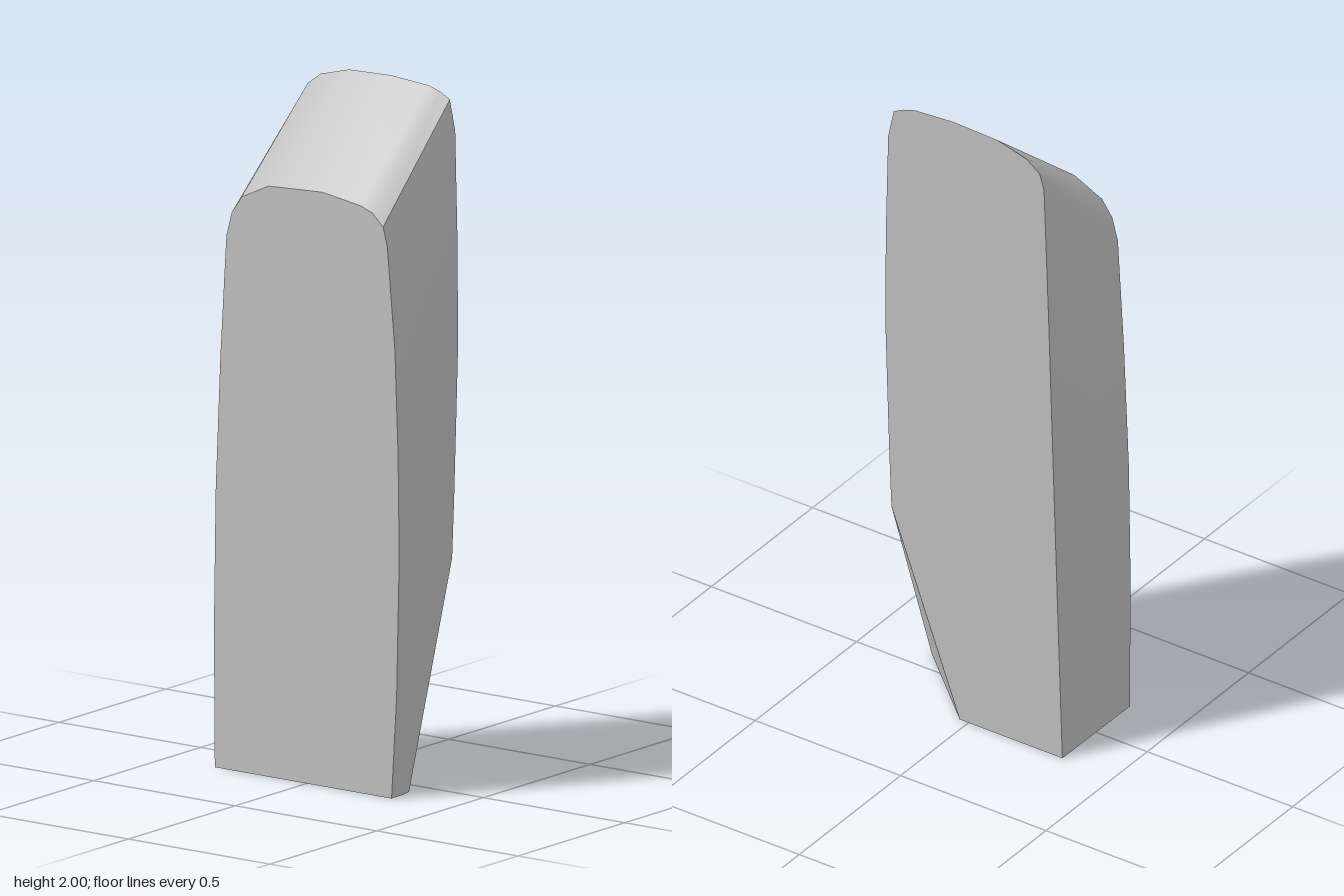
import * as THREE from 'three';
import { toCreasedNormals } from 'three/addons/utils/BufferGeometryUtils.js';

const HALF = 0.165;

// Side outlines as [z, y], from the front foot over the top to the back foot
const lowSide = [
  [0.3, 0], [0.318, 0.3], [0.327, 0.7], [0.323, 1.0], [0.312, 1.3], [0.285, 1.6],
  [0.27, 1.655], [0.232, 1.69], [0.192, 1.705], [0.055, 1.725], [-0.135, 1.715],
  [-0.23, 1.67], [-0.265, 1.62], [-0.284, 1.55], [-0.305, 1.2], [-0.322, 0.8],
  [-0.328, 0.4], [-0.325, 0],
];
const highSide = [
  [0.265, 0.63], [0.272, 0.8], [0.28, 1.05], [0.286, 1.25], [0.284, 1.55], [0.276, 1.87],
  [0.257, 1.96], [0.225, 1.977], [0.185, 1.99], [0.05, 2], [-0.1, 1.995],
  [-0.2, 1.968], [-0.245, 1.935], [-0.26, 1.885], [-0.276, 1.45], [-0.292, 0.95],
  [-0.308, 0.45], [-0.323, 0],
];

// Convex polygons become triangle fans
function fanGeometry(polygons) {
  const pos = [];
  for (const p of polygons) {
    for (let i = 1; i < p.length - 1; i++) pos.push(...p[0], ...p[i], ...p[i + 1]);
  }
  const g = new THREE.BufferGeometry();
  g.setAttribute('position', new THREE.Float32BufferAttribute(pos, 3));
  return toCreasedNormals(g, 0.5);
}

export function createModel() {
  const group = new THREE.Group();
  group.name = 'slantedBlock';
  const grey = new THREE.MeshStandardMaterial({ color: 0xc0c0c0 });
  grey.name = 'grey';

  const low = lowSide.map(([z, y]) => [-HALF, y, z]);
  const high = highSide.map(([z, y]) => [HALF, y, z]);
  const last = low.length - 1;

  // Corners of the cut at the front foot
  const bend = [-0.11, 0, 0.299];
  const cutFront = [-0.07, 0, 0.29];
  const cutSide = [HALF, 0, 0.03];

  // Skin running up the front, over the slanted top and down the back
  const skin = [[low[0], bend, high[0]], [bend, cutFront, high[0]]];
  for (let i = 0; i < last; i++) {
    skin.push([low[i], high[i], high[i + 1]], [low[i], high[i + 1], low[i + 1]]);
  }

  const parts = {
    wrapSurface: skin,
    cornerCut: [[cutFront, cutSide, high[0]]],
    lowSideFace: [low],
    highSideFace: [[...high, cutSide].reverse()],
    base: [[low[0], bend, cutFront, cutSide, high[last], low[last]].reverse()],
  };
  for (const [name, polygons] of Object.entries(parts)) {
    const mesh = new THREE.Mesh(fanGeometry(polygons), grey);
    mesh.name = name;
    group.add(mesh);
  }
  return group;
}
